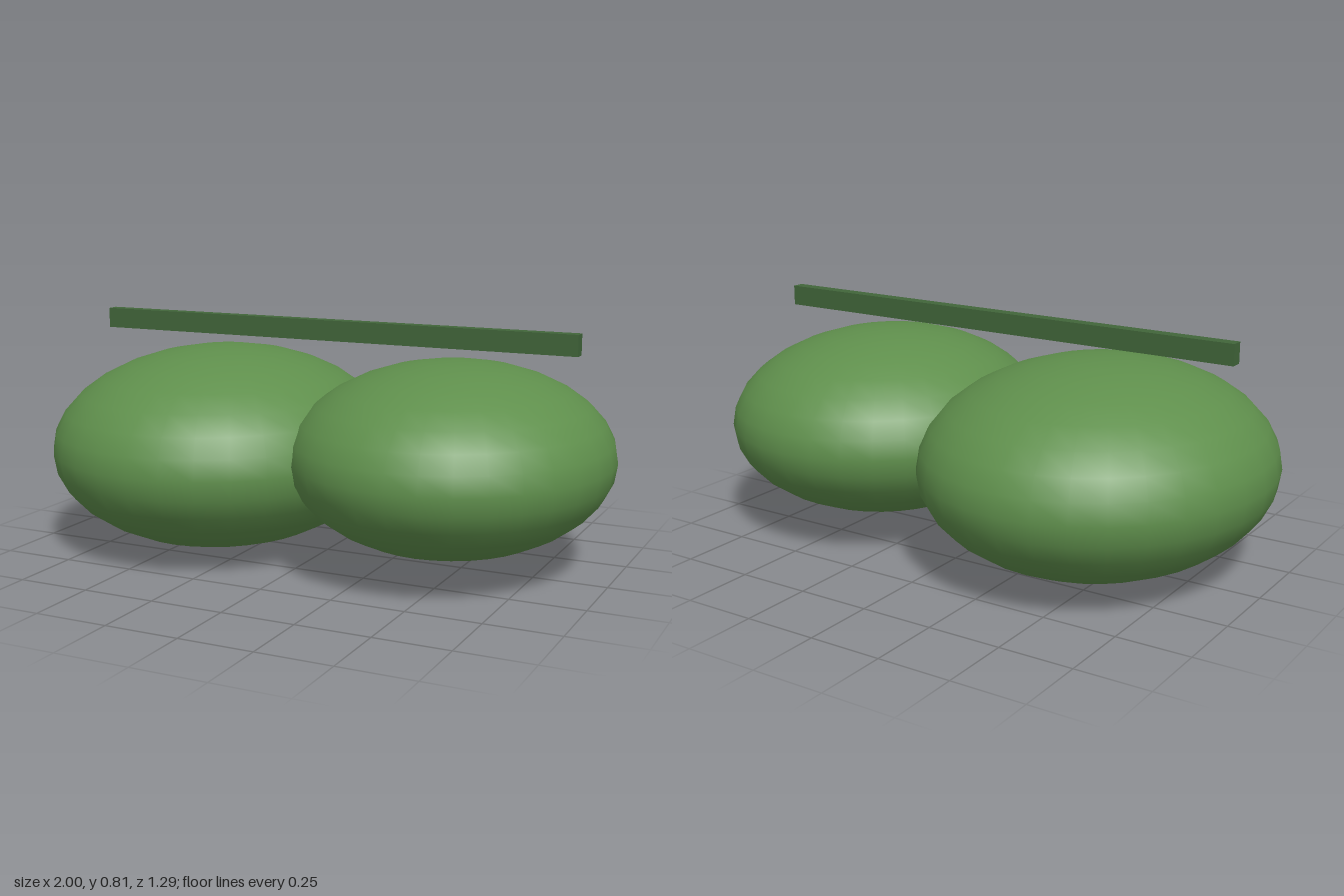
import * as THREE from 'three';

const leafGreen = new THREE.MeshStandardMaterial({ color: 0x5f8f4c });
const darkGreen = new THREE.MeshStandardMaterial({ color: 0x41663a });

// Smooth squashed ball with separate radii
function lobe(name, [rx, ry, rz], [x, y, z]) {
  const geometry = new THREE.SphereGeometry(1, 32, 16).scale(rx, ry, rz);
  const mesh = new THREE.Mesh(geometry, leafGreen);
  mesh.name = name;
  mesh.position.set(x, y, z);
  return mesh;
}

export function createModel() {
  const model = new THREE.Group();
  model.name = 'twinLobes';

  // Two overlapping rounded lobes, the right one larger
  model.add(lobe('rightLobe', [0.59, 0.352, 0.645], [-0.41, 0.354, 0]));
  model.add(lobe('leftLobe', [0.54, 0.321, 0.587], [0.46, 0.384, 0]));

  // Thin bar floating above both lobes
  const bar = new THREE.Mesh(new THREE.BoxGeometry(1.76, 0.07, 0.042), darkGreen);
  bar.name = 'topBar';
  bar.position.set(0, 0.781, 0);
  model.add(bar);

  return model;
}
